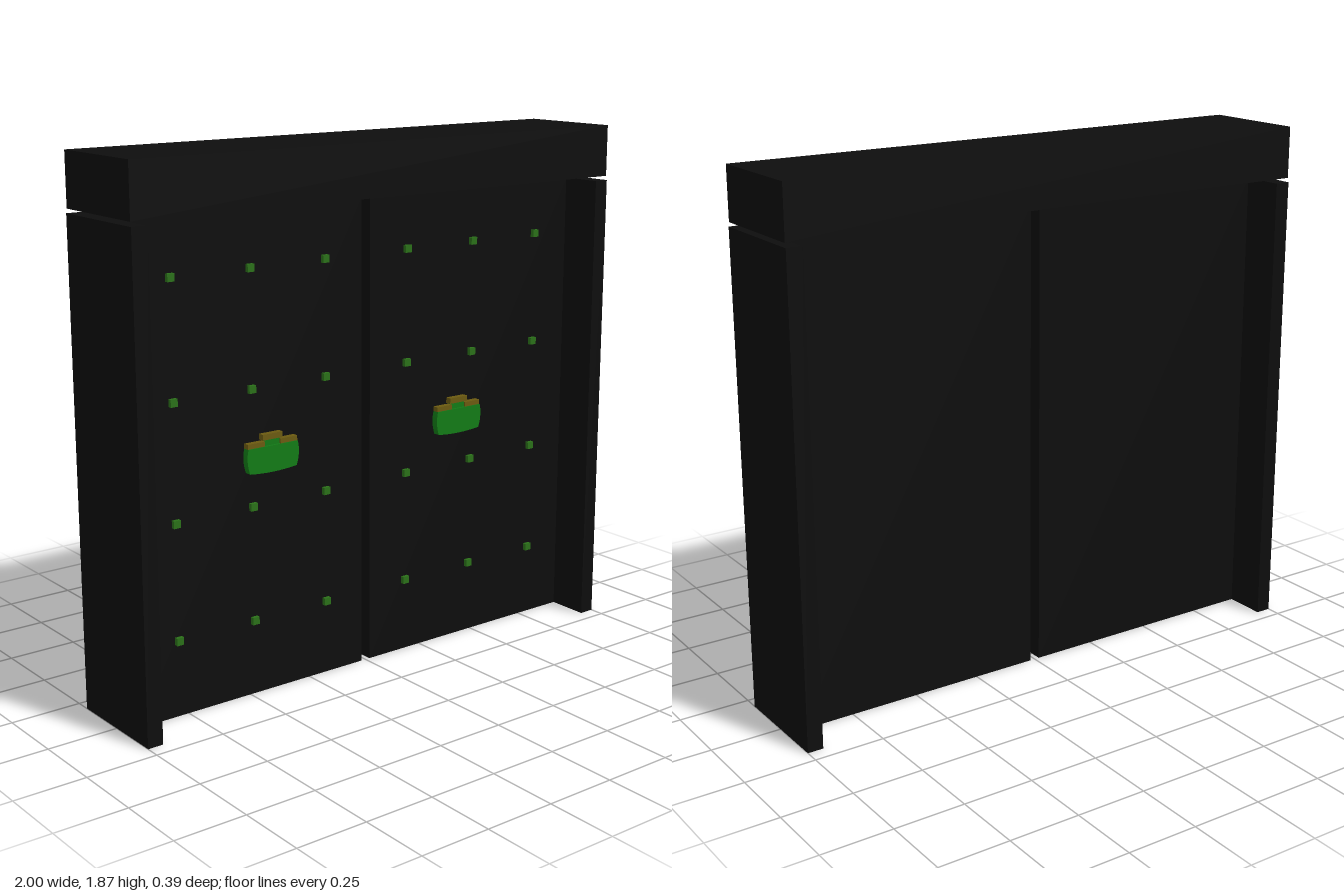
import * as THREE from 'three';

const black = new THREE.MeshStandardMaterial({ color: 0x0d0d0d });
const green = new THREE.MeshStandardMaterial({ color: 0x127a16 });
const rivetGreen = new THREE.MeshStandardMaterial({ color: 0x2a7018 });
const ochre = new THREE.MeshStandardMaterial({ color: 0x6b5a10 });

function box(parent, name, material, [w, h, d], [x, y, z]) {
  const mesh = new THREE.Mesh(new THREE.BoxGeometry(w, h, d), material);
  mesh.name = name;
  mesh.position.set(x, y, z);
  parent.add(mesh);
  return mesh;
}

const H = 1.667;        // height of posts and doors
const DOOR_Z = 0.045;   // front face of the doors

// Small raised latch: swelling lower body, lid strip and T-shaped grip
function latch(x, y) {
  const group = new THREE.Group();
  group.name = 'latch';
  const s = new THREE.Shape();
  s.moveTo(-0.095, 0);
  s.quadraticCurveTo(0, -0.012, 0.095, 0);
  s.quadraticCurveTo(0.111, 0.045, 0.1, 0.085);
  s.lineTo(-0.1, 0.085);
  s.quadraticCurveTo(-0.111, 0.045, -0.095, 0);
  const body = new THREE.Mesh(
    new THREE.ExtrudeGeometry(s, { depth: 0.025, bevelEnabled: false, curveSegments: 8 }), green);
  body.name = 'latchBody';
  group.add(body);
  for (const side of [-1, 1]) {
    box(group, 'latchLid', ochre, [0.068, 0.018, 0.022], [side * 0.066, 0.093, 0.011]);
  }
  box(group, 'gripStem', green, [0.064, 0.027, 0.016], [0, 0.0975, 0.008]);
  box(group, 'gripBar', ochre, [0.08, 0.02, 0.022], [0, 0.116, 0.011]);
  group.position.set(x, y, DOOR_Z);
  return group;
}

export function createModel() {
  const model = new THREE.Group();
  model.name = 'gateway';

  // Header beam, just clear of the posts
  box(model, 'header', black, [2, 0.183, 0.385], [0, 1.7735, 0]);

  for (const side of [-1, 1]) {
    // Full-depth side post
    box(model, 'post', black, [0.056, H, 0.394], [side * 0.972, H / 2, 0]);

    // Door panel, recessed between the posts
    box(model, 'door', black, [0.927, H, 2 * DOOR_Z], [side * 0.4815, H / 2, 0]);

    // Grid of rivets on the front of the door
    for (const x of [0.178, 0.481, 0.783]) {
      for (const y of [0.267, 0.67, 1.073, 1.475]) {
        box(model, 'rivet', rivetGreen, [0.026, 0.026, 0.016], [side * x, y, DOOR_Z + 0.006]);
      }
    }
    model.add(latch(side * 0.41, 0.79));
  }
  return model;
}
